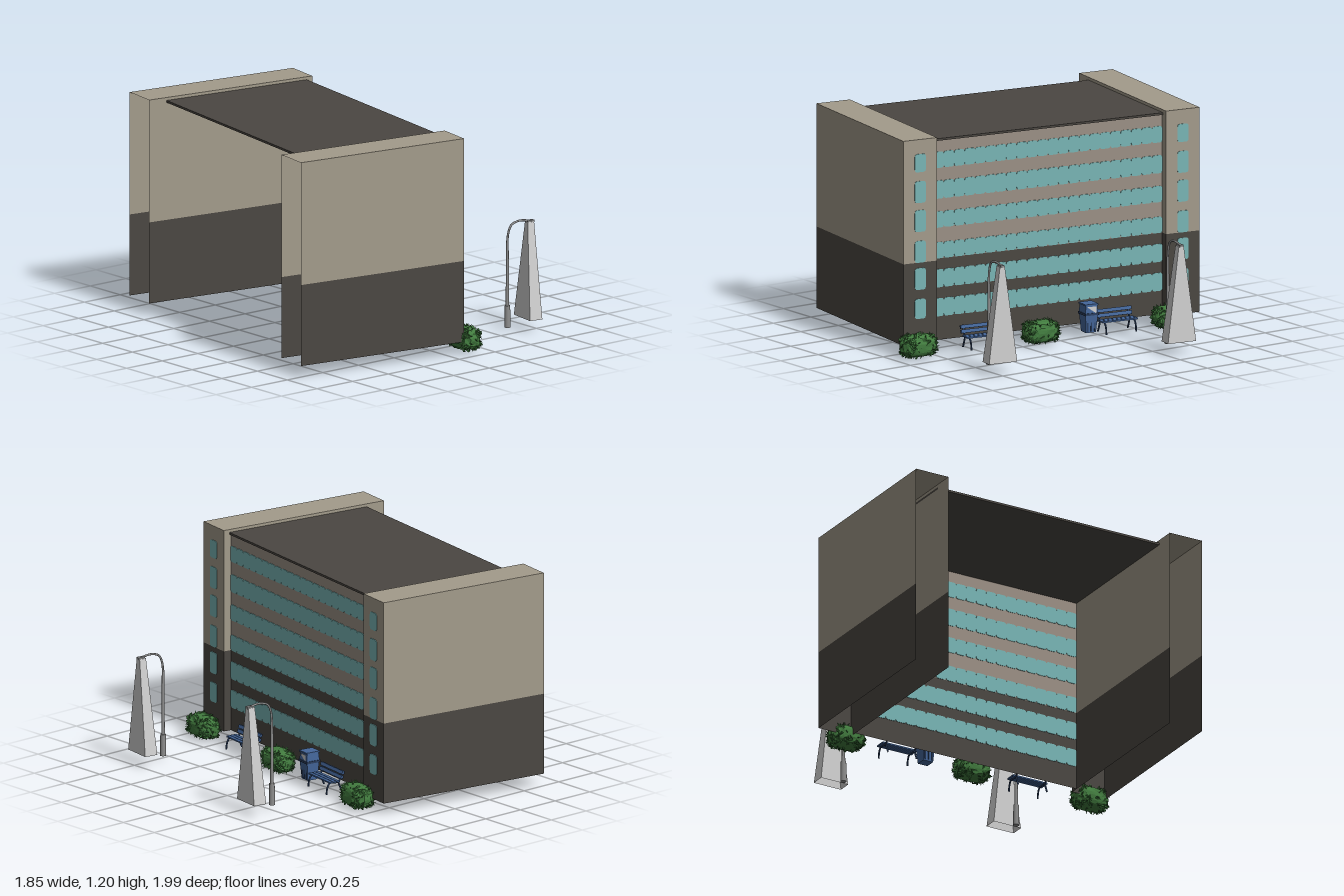
import * as THREE from 'three';
import { mergeGeometries } from 'three/addons/utils/BufferGeometryUtils.js';

const mat = (name, color, extra = {}) => {
  const m = new THREE.MeshStandardMaterial({ color, ...extra });
  m.name = name;
  return m;
};
const D = { side: THREE.DoubleSide };

export function createModel() {
  const M = {
    tan: mat('tan stone', 0xa39b8b, D),
    dark: mat('dark stone', 0x4b4742, D),
    brick: mat('facade brown', 0x9b9085, D),
    glass: mat('teal glass', 0x78b5b5),
    leaf: mat('leaf green', 0x427c3f, { flatShading: true }),
    leafDark: mat('dark leaf green', 0x2b5a2b, D),
    blue: mat('paint blue', 0x44669a),
    navy: mat('dark blue', 0x2b3f60),
    pale: mat('pale grey', 0xd0d0d0, D),
    metal: mat('metal grey', 0x8e8e8e),
  };
  const root = new THREE.Group();
  const site = new THREE.Group();
  site.name = 'site';
  site.rotation.y = -0.157;
  root.add(site);

  const add = (parent, name, geo, material, x = 0, y = 0, z = 0) => {
    const m = new THREE.Mesh(geo, material);
    m.name = name;
    m.position.set(x, y, z);
    parent.add(m);
    return m;
  };
  const group = (name, x = 0, z = 0) => {
    const g = new THREE.Group();
    g.name = name;
    g.position.set(x, 0, z);
    site.add(g);
    return g;
  };

  // Upright wall sheets, dark below y 0.52 and lighter above
  const Y0 = 0.07, YM = 0.52, Y1 = 1.2;
  const wall = (parent, name, width, x, z, facing, upper, top = Y1) => {
    [[Y0, YM, M.dark, 'Base'], [YM, top, upper, 'Upper']].forEach(([a, b, m, s]) => {
      add(parent, name + s, new THREE.PlaneGeometry(width, b - a), m, x, (a + b) / 2, z).rotation.y = facing;
    });
  };

  // Rounded window panes, side by side, facing +x and showing on both sides of the wall
  const windows = (parent, name, count, w, y0, y1, x, z) => {
    const r = 0.016, shapes = [];
    for (let i = 0; i < count; i++) {
      const a = (i - count / 2) * w, b = a + w, s = new THREE.Shape();
      s.moveTo(a + r, y0);
      s.lineTo(b - r, y0); s.quadraticCurveTo(b, y0, b, y0 + r);
      s.lineTo(b, y1 - r); s.quadraticCurveTo(b, y1, b - r, y1);
      s.lineTo(a + r, y1); s.quadraticCurveTo(a, y1, a, y1 - r);
      s.lineTo(a, y0 + r); s.quadraticCurveTo(a, y0, a + r, y0);
      shapes.push(s);
    }
    const geo = new THREE.ExtrudeGeometry(shapes, { depth: 0.006, bevelEnabled: false, curveSegments: 4 });
    add(parent, name, geo, M.glass, x - 0.003, 0, z).rotation.y = Math.PI / 2;
  };

  // End towers, open at the back and underneath
  const XB = -0.79, XF = 0.235, XC = (XB + XF) / 2;
  [['backTower', -0.888, -0.685], ['frontTower', 0.702, 0.905]].forEach(([name, z0, z1]) => {
    const t = group(name), zc = (z0 + z1) / 2;
    wall(t, 'sideA', XF - XB, XC, z0, Math.PI, M.tan);
    wall(t, 'sideB', XF - XB, XC, z1, 0, M.tan);
    wall(t, 'face', z1 - z0, XF, zc, Math.PI / 2, M.tan);
    add(t, 'towerTop', new THREE.PlaneGeometry(XF - XB, z1 - z0), M.tan, XC, Y1, zc).rotation.x = -Math.PI / 2;
    [[0.21, 0.32], [0.37, 0.49], [0.52, 0.64], [0.69, 0.81], [0.85, 0.97], [1.02, 1.12]].forEach(([a, b], i) =>
      windows(t, 'towerWindow' + i, 1, 0.066, a, b, XF, zc));
  });

  // Facade between the towers
  const facade = group('facade');
  const zA = -0.685, zB = 0.702, zMid = (zA + zB) / 2;
  wall(facade, 'facadeWall', zB - zA, 0.19, zMid, Math.PI / 2, M.brick, 1.18);
  [[0.2, 0.3], [0.36, 0.46], [0.52, 0.61], [0.69, 0.78], [0.85, 0.95], [1.02, 1.11]].forEach(([a, b], i) =>
    windows(facade, 'windowRow' + i, 22, 0.063, a, b, 0.19, zMid));

  // Flat roof
  add(site, 'roof', new THREE.BoxGeometry(0.88, 0.012, zB - zA), M.dark, -0.24, 1.178, zMid);

  // Box with its top scaled
  const taperBox = (w, h, d, sx, sz, dx = 0) => {
    const g = new THREE.BoxGeometry(w, h, d), p = g.attributes.position;
    for (let i = 0; i < p.count; i++) {
      if (p.getY(i) > 0) p.setXYZ(i, p.getX(i) * sx + dx, p.getY(i), p.getZ(i) * sz);
    }
    g.computeVertexNormals();
    return g;
  };
  const tube = (pts, r, seg = 20) => new THREE.TubeGeometry(
    new THREE.CatmullRomCurve3(pts.map(p => new THREE.Vector3(...p))), seg, r, 8);

  // Street lamps with an open tapered light beam
  [-0.467, 0.616].forEach((z) => {
    const g = group('streetLamp', 0.68, z);
    add(g, 'lampBase', new THREE.CylinderGeometry(0.015, 0.017, 0.12, 12), M.metal, 0, 0.09, 0);
    add(g, 'lampPole', new THREE.CylinderGeometry(0.007, 0.01, 0.36, 10), M.metal, 0, 0.33, 0);
    add(g, 'lampArm', tube([[0, 0.5, 0], [0.005, 0.55, 0], [0.025, 0.595, 0], [0.07, 0.612, 0],
      [0.12, 0.608, 0], [0.155, 0.6, 0]], 0.006), M.metal);
    add(g, 'lampHead', new THREE.BoxGeometry(0.04, 0.012, 0.022), M.metal, 0.143, 0.602, 0);
    const beam = taperBox(0.077, 0.53, 0.17, 0.52, 0.17, 0.009);
    const idx = Array.from(beam.index.array);
    idx.splice(18, 6);
    beam.setIndex(idx);
    beam.clearGroups();
    add(g, 'lightBeam', beam, M.pale, 0.13, 0.335, 0);
  });

  // Benches
  [-0.368, 0.449].forEach((z) => {
    const g = group('bench', 0.27, z);
    [-0.01, 0.012, 0.034].forEach(x =>
      add(g, 'seatSlat', new THREE.BoxGeometry(0.018, 0.008, 0.215), M.blue, x, 0.092, 0));
    [[-0.032, 0.113], [-0.039, 0.137]].forEach(([x, y]) => {
      add(g, 'backSlat', new THREE.BoxGeometry(0.008, 0.019, 0.215), M.blue, x, y, 0).rotation.z = 0.28;
      add(g, 'backSlatRear', new THREE.BoxGeometry(0.006, 0.019, 0.215), M.navy, x - 0.007, y - 0.002, 0).rotation.z = 0.28;
    });
    [-0.09, 0.09].forEach((s) => {
      add(g, 'frontLeg', tube([[0.055, 0.025, s], [0.05, 0.06, s], [0.035, 0.085, s], [-0.02, 0.086, s],
        [-0.036, 0.11, s], [-0.046, 0.147, s]], 0.005), M.navy);
      add(g, 'rearLeg', tube([[-0.02, 0.086, s], [-0.03, 0.06, s], [-0.045, 0.025, s]], 0.005, 8), M.navy);
    });
  });

  // Litter bin
  const bin = group('litterBin', 0.267, -0.199);
  add(bin, 'binBody', taperBox(0.06, 0.1, 0.06, 1.3, 1.25), M.blue, 0, 0.09, 0);
  add(bin, 'binRim', new THREE.BoxGeometry(0.088, 0.012, 0.084), M.navy, 0, 0.143, 0);
  add(bin, 'binHood', taperBox(0.08, 0.045, 0.076, 0.9, 0.9), M.blue, 0, 0.17, 0);
  add(bin, 'binLid', new THREE.BoxGeometry(0.084, 0.008, 0.078), M.blue, 0, 0.195, 0);
  [-0.022, 0, 0.022].forEach(z =>
    add(bin, 'binRib', new THREE.BoxGeometry(0.07, 0.085, 0.007), M.navy, 0, 0.09, z));
  const flap = new THREE.Shape([[-0.03, 0.185], [0.028, 0.185], [0.028, 0.145]].map(p => new THREE.Vector2(...p)));
  add(bin, 'binFlap', new THREE.ShapeGeometry(flap), M.pale, 0.042, 0, 0).rotation.y = Math.PI / 2;

  // Bushes: a rounded block of foliage with pointed leaves
  let seed = 7;
  const rnd = () => (seed = (seed * 16807) % 2147483647) / 2147483647;
  const pw = (v, e) => Math.sign(v) * Math.abs(v) ** e;
  const surface = (d, k) => new THREE.Vector3(
    pw(d.x, 0.7) * 0.07 * k, 0.075 + pw(d.y, 0.7) * 0.064 * k, pw(d.z, 0.6) * 0.107 * k);
  [-0.692, 0.097, 0.837].forEach((z) => {
    const g = group('bush', 0.277, z);
    const geo = new THREE.IcosahedronGeometry(1, 5), p = geo.attributes.position;
    for (let i = 0; i < p.count; i++) {
      const d = new THREE.Vector3().fromBufferAttribute(p, i).normalize();
      const k = 0.93 + 0.05 * Math.sin(d.x * 17 + d.y * 11 + z) * Math.sin(d.z * 19 - d.y * 7);
      p.setXYZ(i, ...surface(d, k));
    }
    geo.computeVertexNormals();
    add(g, 'foliage', geo, M.leaf);
    const leaves = [[], []];
    for (let i = 0; i < 220; i++) {
      const d = new THREE.Vector3(rnd() - 0.5, rnd() - 0.5, rnd() - 0.5).normalize();
      const leaf = new THREE.ConeGeometry(0.009, 0.034, 3);
      const lean = d.clone().add(new THREE.Vector3(rnd() - 0.5, rnd() - 0.5, rnd() - 0.5).multiplyScalar(2.4)).normalize();
      leaf.applyQuaternion(new THREE.Quaternion().setFromUnitVectors(new THREE.Vector3(0, 1, 0), lean));
      const c = surface(d, 0.94);
      leaf.translate(c.x, Math.max(c.y, 0.018), c.z);
      leaves[d.y > 0.2 ? 0 : i % 2].push(leaf);
    }
    add(g, 'leaves', mergeGeometries(leaves[0]), M.leaf);
    add(g, 'darkLeaves', mergeGeometries(leaves[1]), M.leafDark);
  });

  return root;
}
